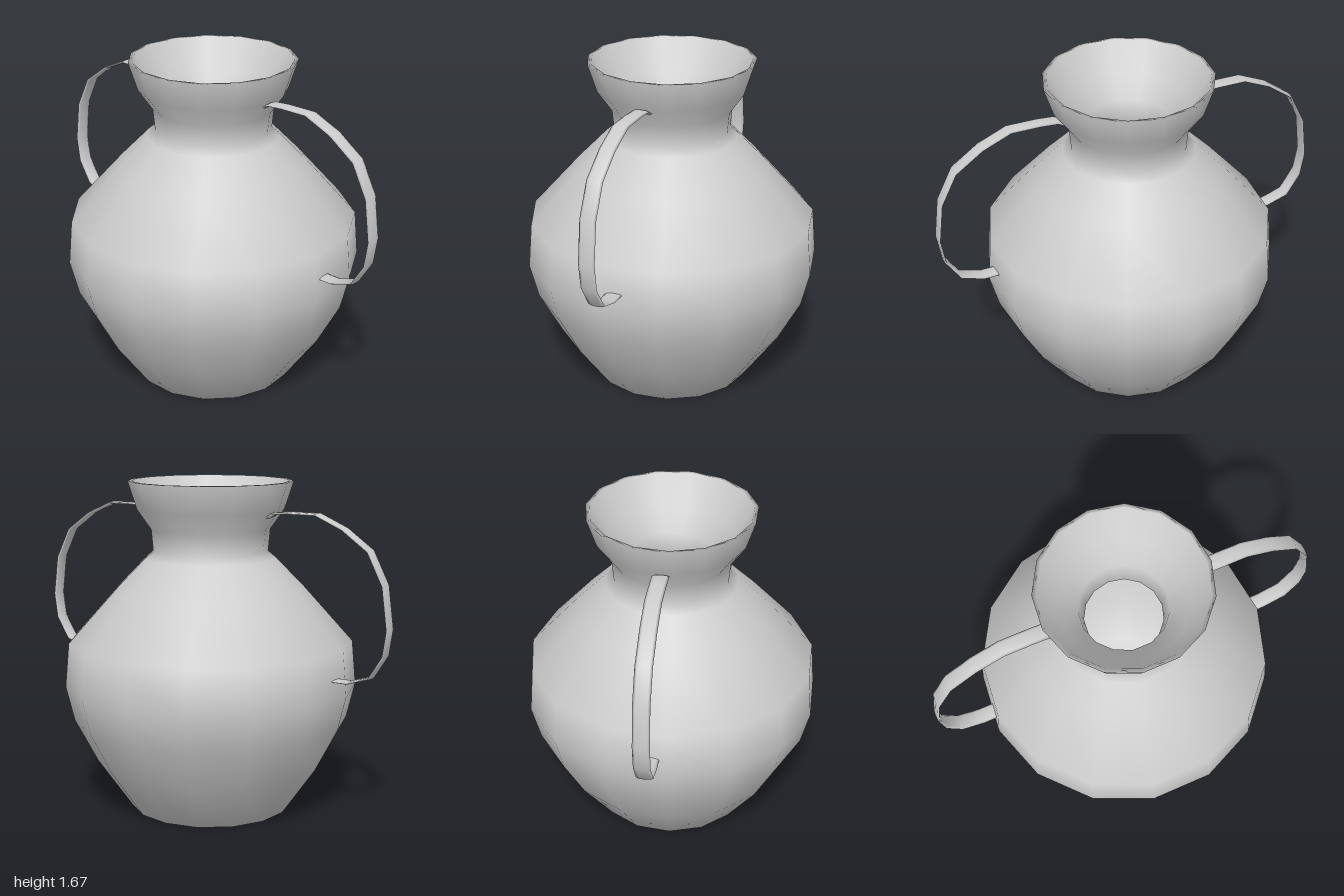
import * as THREE from 'three';

const material = new THREE.MeshStandardMaterial({ color: 0xcccccc });
const points = (list) => list.map(([x, y]) => new THREE.Vector2(x, y));

// Sweeps a flattened oval along a path in the xy plane, with the oval's wide side along z
function sweepStrap(path, halfWidth, halfThickness, sides) {
  const positions = [], index = [];
  path.forEach((p, i) => {
    const before = path[Math.max(i - 1, 0)];
    const after = path[Math.min(i + 1, path.length - 1)];
    const along = after.clone().sub(before).normalize();
    for (let s = 0; s < sides; s++) {
      const a = (s / sides) * Math.PI * 2;
      const out = Math.cos(a) * halfThickness;
      positions.push(p.x - along.y * out, p.y + along.x * out, Math.sin(a) * halfWidth);
      if (i === path.length - 1) continue;
      const t = (s + 1) % sides;
      const a0 = i * sides + s, a1 = i * sides + t;
      index.push(a0, a1, a0 + sides, a1, a1 + sides, a0 + sides);
    }
  });
  const geometry = new THREE.BufferGeometry();
  geometry.setAttribute('position', new THREE.Float32BufferAttribute(positions, 3));
  geometry.setIndex(index);
  geometry.computeVertexNormals();
  return geometry;
}

export function createModel() {
  const model = new THREE.Group();
  model.name = 'twoHandledVase';

  // Vessel: outer wall from the base up to the rim, then the inner wall down to the floor
  const profile = points([
    [0, 0], [0.41, 0], [0.585, 0.25], [0.70, 0.47], [0.742, 0.645], [0.722, 0.867],
    [0.473, 1.145], [0.331, 1.29], [0.29, 1.325], [0.30, 1.435], [0.37, 1.535], [0.415, 1.675],
    [0.395, 1.675], [0.31, 1.525], [0.215, 1.43], [0.19, 1.32], [0.25, 1.22],
    [0.40, 1.09], [0.63, 0.83], [0.65, 0.645], [0.61, 0.49], [0.50, 0.29], [0.35, 0.09], [0, 0.09],
  ]);
  const vessel = new THREE.Mesh(new THREE.LatheGeometry(profile, 15, Math.PI), material);
  vessel.name = 'vessel';
  model.add(vessel);

  // Handles: thin straps from the neck round to the belly
  const path = points([
    [0.33, 1.505], [0.375, 1.53], [0.46, 1.536], [0.607, 1.536], [0.75, 1.475], [0.885, 1.38],
    [0.965, 1.225], [0.993, 1.02], [0.975, 0.893], [0.905, 0.78], [0.79, 0.742], [0.69, 0.742],
  ]);
  const strap = sweepStrap(path, 0.04, 0.007, 8);
  ['leftHandle', 'rightHandle'].forEach((name, i) => {
    const handle = new THREE.Mesh(strap, material);
    handle.name = name;
    handle.rotation.y = i * Math.PI;
    model.add(handle);
  });

  // Centre the odd-sided vessel front to back
  model.children.forEach((part) => { part.position.z = 0.008; });
  return model;
}
